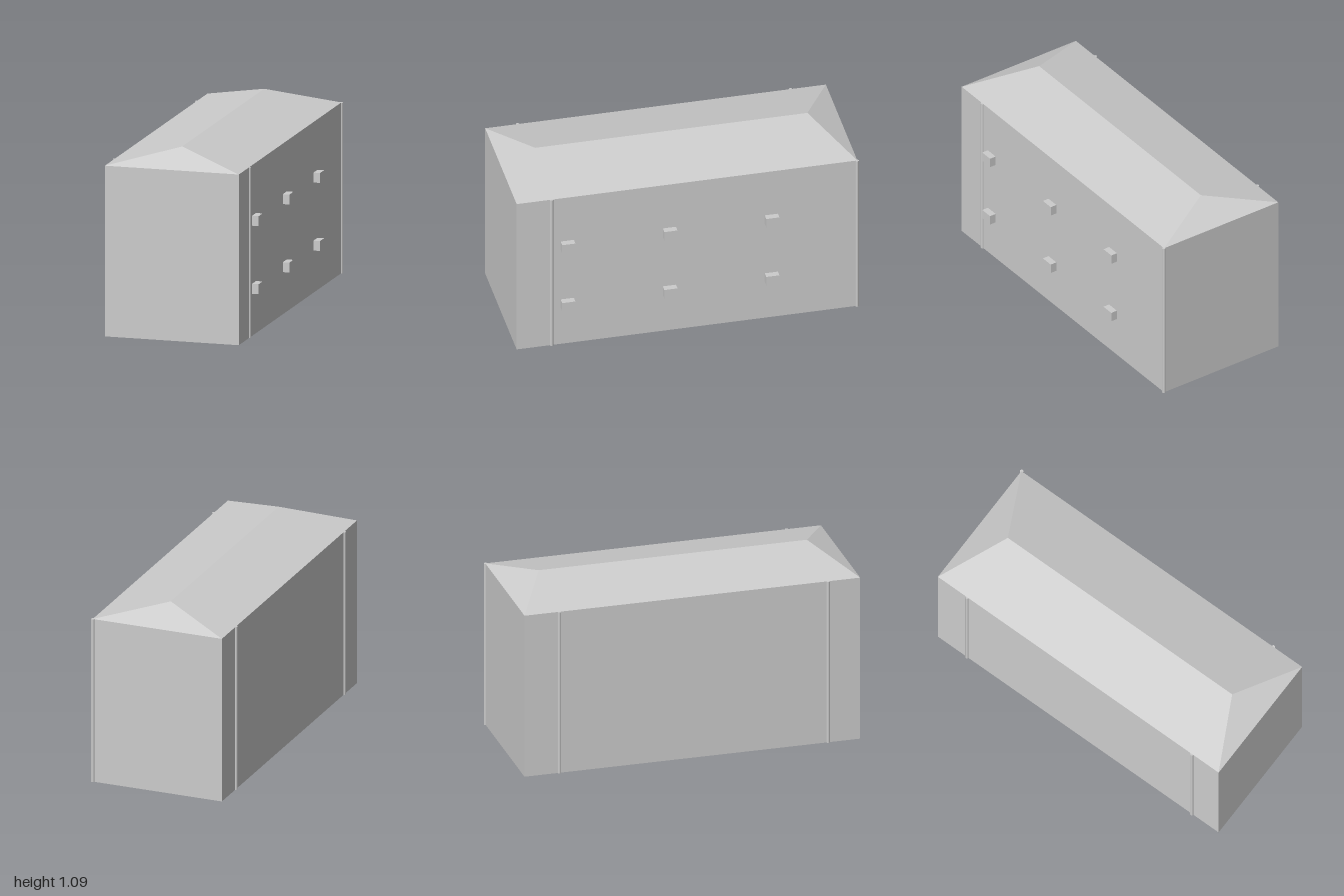
import * as THREE from 'three';

const X0 = -0.413, X1 = 0.385;   // side walls
const Z0 = -0.992, Z1 = 1.0;     // back and front walls
const EAVES = 0.996, RIDGE = 1.092, HIP = 0.2;

export function createModel() {
  const group = new THREE.Group();
  const grey = new THREE.MeshStandardMaterial({ color: 0xcccccc, side: THREE.DoubleSide });
  grey.name = 'plain grey';

  const add = (name, geometry, x = 0, y = 0, z = 0) => {
    const mesh = new THREE.Mesh(geometry, grey);
    mesh.name = name;
    mesh.position.set(x, y, z);
    group.add(mesh);
  };

  // Builds a flat-faced surface from polygons with counter-clockwise corners
  const faces = (polygons) => {
    const points = [];
    for (const p of polygons)
      for (let i = 1; i < p.length - 1; i++) points.push(...p[0], ...p[i], ...p[i + 1]);
    const g = new THREE.BufferGeometry();
    g.setAttribute('position', new THREE.Float32BufferAttribute(points, 3));
    g.computeVertexNormals();
    return g;
  };

  // Four walls, open underneath
  const corners = [[X0, Z1], [X1, Z1], [X1, Z0], [X0, Z0]];
  add('walls', faces(corners.map(([ax, az], i) => {
    const [bx, bz] = corners[(i + 1) % 4];
    return [[ax, 0, az], [bx, 0, bz], [bx, EAVES, bz], [ax, EAVES, az]];
  })));

  // Hipped roof
  const xm = (X0 + X1) / 2;
  const [fl, fr, br, bl] = corners.map(([x, z]) => [x, EAVES, z]);
  const rf = [xm, RIDGE, Z1 - HIP], rb = [xm, RIDGE, Z0 + HIP];
  add('roof', faces([[fl, fr, rf], [fr, br, rb, rf], [br, bl, rb], [bl, fl, rf, rb]]));

  // Drainpipes half sunk in the side walls
  const pipe = new THREE.CylinderGeometry(0.0105, 0.0105, EAVES, 12);
  for (const [x, z] of [[X1, 0.796], [X1, -0.99], [X0, -0.785], [X0, 0.81]])
    add('drainpipe', pipe, x, EAVES / 2, z);

  // Wall units on the left side, two rows of three
  const unit = new THREE.BoxGeometry(0.039, 0.058, 0.077);
  for (const y of [0.275, 0.672])
    for (const z of [0.704, 0.107, -0.489])
      add('wallUnit', unit, X1 + 0.0195, y, z);

  return group;
}
